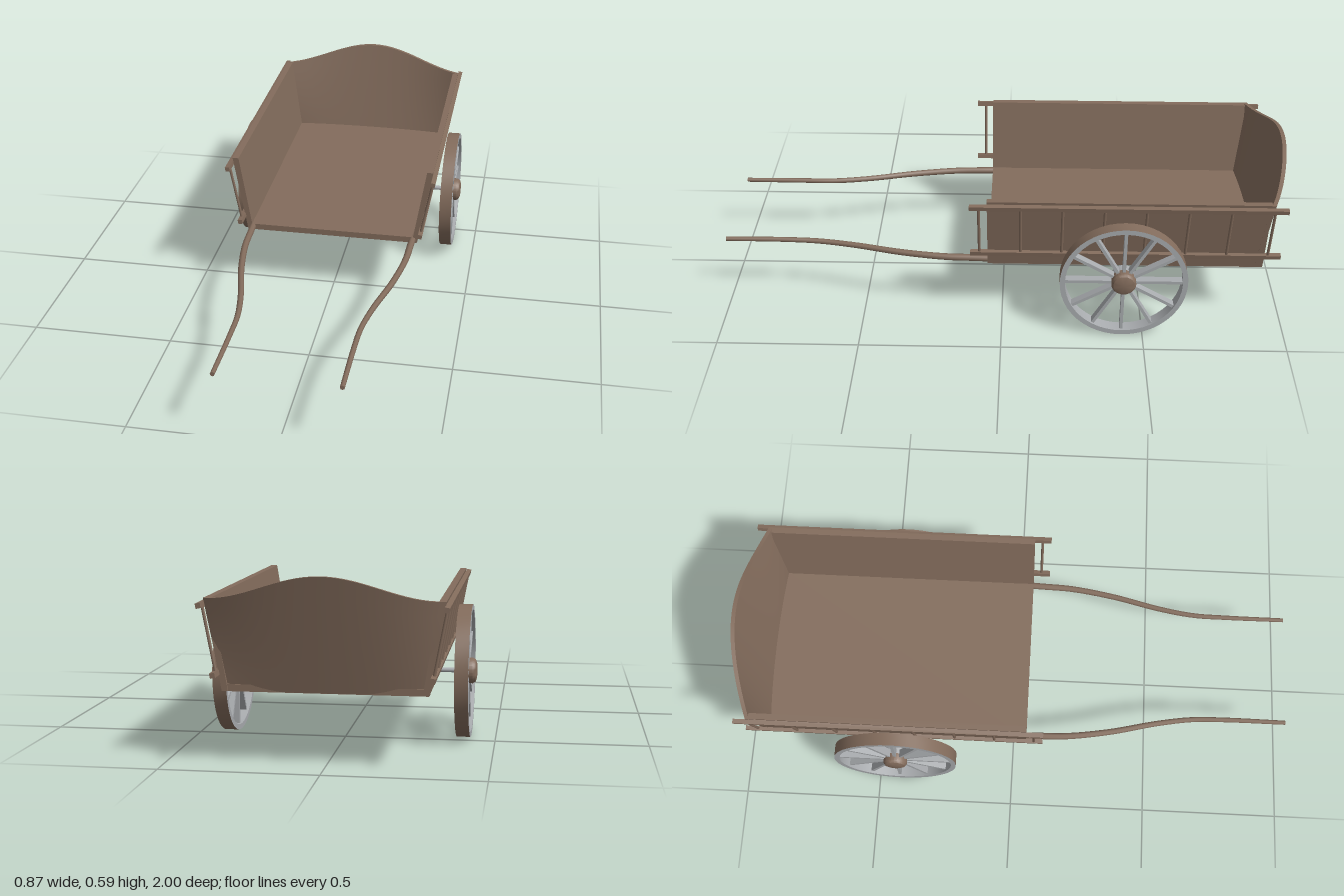
import * as THREE from 'three';
import { toCreasedNormals } from 'three/addons/utils/BufferGeometryUtils.js';

const wood = new THREE.MeshStandardMaterial({ color: 0x836c5c, side: THREE.DoubleSide });
wood.name = 'brown wood';
const metal = new THREE.MeshStandardMaterial({ color: 0xa9acaf, side: THREE.DoubleSide });
metal.name = 'grey metal';

function add(parent, name, geometry, material, x = 0, y = 0, z = 0) {
  const mesh = new THREE.Mesh(geometry, material);
  mesh.name = name;
  mesh.position.set(x, y, z);
  parent.add(mesh);
  return mesh;
}

// Ring or solid turned around the x axis; each point is [radius, x]
function turned(points, segments = 40) {
  const g = new THREE.LatheGeometry(points.map(([r, x]) => new THREE.Vector2(r, x)), segments);
  g.rotateZ(-Math.PI / 2);
  return toCreasedNormals(g, 0.6);
}

// Slanting prism along z from a front outline
function plank(points, z0, z1) {
  const shape = new THREE.Shape(points.map(([x, y]) => new THREE.Vector2(x, y)));
  const g = new THREE.ExtrudeGeometry(shape, { depth: z1 - z0, bevelEnabled: false });
  return g.translate(0, 0, z0);
}

// Tailboard: a box bent into a leaning, bowed panel with a wavy top
function tailboardGeometry() {
  const g = new THREE.BoxGeometry(1, 1, 1, 32, 6, 1);
  const p = g.attributes.position;
  for (let i = 0; i < p.count; i++) {
    const u = p.getX(i) * 2, t = p.getY(i) + 0.5, w = p.getZ(i) + 0.5;
    const top = 0.522 + 0.077 * (1 + Math.cos(Math.PI * u)) / 2;
    const zBottom = -0.912 + 0.012 * u * u, zTop = -1 + 0.075 * u * u;
    p.setXYZ(i,
      u * (0.318 + 0.05 * Math.min(t, 1)),
      0.235 + (top - 0.235) * t,
      zBottom + (zTop - zBottom) * t + 0.014 * w);
  }
  g.computeVertexNormals();
  return g;
}

// Tapering curved shaft
function shaftGeometry(side) {
  const path = new THREE.CatmullRomCurve3([
    [0.302, 0.244, 0], [0.298, 0.245, 0.08], [0.293, 0.244, 0.2], [0.268, 0.243, 0.36],
    [0.228, 0.243, 0.53], [0.207, 0.244, 0.66], [0.203, 0.246, 0.78], [0.203, 0.246, 1]
  ].map(([x, y, z]) => new THREE.Vector3(side * x, y, z)));
  const rings = 40, sides = 8;
  const g = new THREE.TubeGeometry(path, rings, 1, sides);
  const p = g.attributes.position, v = new THREE.Vector3();
  for (let i = 0; i < p.count; i++) {
    const t = Math.floor(i / (sides + 1)) / rings;
    const c = path.getPointAt(t);
    v.fromBufferAttribute(p, i).sub(c).multiplyScalar(0.013 - 0.005 * t).add(c);
    p.setXYZ(i, v.x, v.y, v.z);
  }
  return g;
}

function createWheel() {
  const wheel = new THREE.Group();
  const w = 0.0225, R = 0.222, r = 0.204;
  add(wheel, 'tread', turned([[R, -w], [R, w]], 48), wood);
  add(wheel, 'rim', turned([[R, w], [r, w], [r, -w], [R, -w]], 48), metal);
  // Twelve flat spokes
  for (let i = 0; i < 12; i++) {
    const a = i * Math.PI / 6;
    const m = add(wheel, 'spoke', new THREE.BoxGeometry(0.028, 0.178, 0.011), metal,
      0, Math.cos(a) * 0.118, Math.sin(a) * 0.118);
    m.rotation.x = a;
  }
  // Hub, plain inside and domed outside
  add(wheel, 'innerHub', turned([[0, -0.029], [0.043, -0.029], [0.043, 0]], 24), metal);
  add(wheel, 'outerHub', turned([[0.043, 0], [0.043, 0.026], [0.037, 0.035], [0.026, 0.039], [0, 0.04]], 24), wood);
  return wheel;
}

export function createModel() {
  const cart = new THREE.Group();
  cart.name = 'handcart';

  // Body
  add(cart, 'floor', new THREE.BoxGeometry(0.632, 0.022, 0.96), wood, 0, 0.245, -0.43);
  add(cart, 'tailboard', tailboardGeometry(), wood);

  for (const s of [1, -1]) {
    const sideGroup = new THREE.Group();
    sideGroup.name = s > 0 ? 'leftSide' : 'rightSide';
    cart.add(sideGroup);
    const outline = [[0.298, 0.235], [0.317, 0.235], [0.367, 0.522], [0.345, 0.522]];
    add(sideGroup, 'sidePanel', plank(outline.map(([x, y]) => [s * x, y]), -0.915, 0.05), wood);

    // Outer rails
    const low = [0.329, 0.292], high = [0.369, 0.503];
    const lean = Math.atan2(high[0] - low[0], high[1] - low[1]);
    for (const [x, y] of [low, high]) {
      const rail = add(sideGroup, 'rail', new THREE.BoxGeometry(0.016, 0.016, 1.08), wood, s * (x + 0.003), y, -0.43);
      rail.rotation.z = -s * lean;
    }
    // Upright bars between the rails
    const length = Math.hypot(high[0] - low[0], high[1] - low[1]);
    for (let i = 0; i < 8; i++) {
      const bar = add(sideGroup, 'railBar', new THREE.CylinderGeometry(0.005, 0.005, length, 8), wood,
        s * ((low[0] + high[0]) / 2 + 0.003), (low[1] + high[1]) / 2, 0.078 - i * 0.1433);
      bar.rotation.z = -s * lean;
    }

    // Pulling shaft with a closed tip
    add(cart, 'shaft', shaftGeometry(s), wood);
    add(cart, 'shaftTip', new THREE.CircleGeometry(0.008, 8), wood, s * 0.203, 0.246, 1);

    // Wheel
    const wheel = createWheel();
    wheel.name = s > 0 ? 'leftWheel' : 'rightWheel';
    wheel.position.set(s * 0.395, 0.227, -0.425);
    if (s < 0) wheel.rotation.y = Math.PI;
    cart.add(wheel);
  }

  // Axle
  const axle = add(cart, 'axle', new THREE.CylinderGeometry(0.008, 0.008, 0.76, 12), metal, 0, 0.227, -0.425);
  axle.rotation.z = Math.PI / 2;
  return cart;
}
